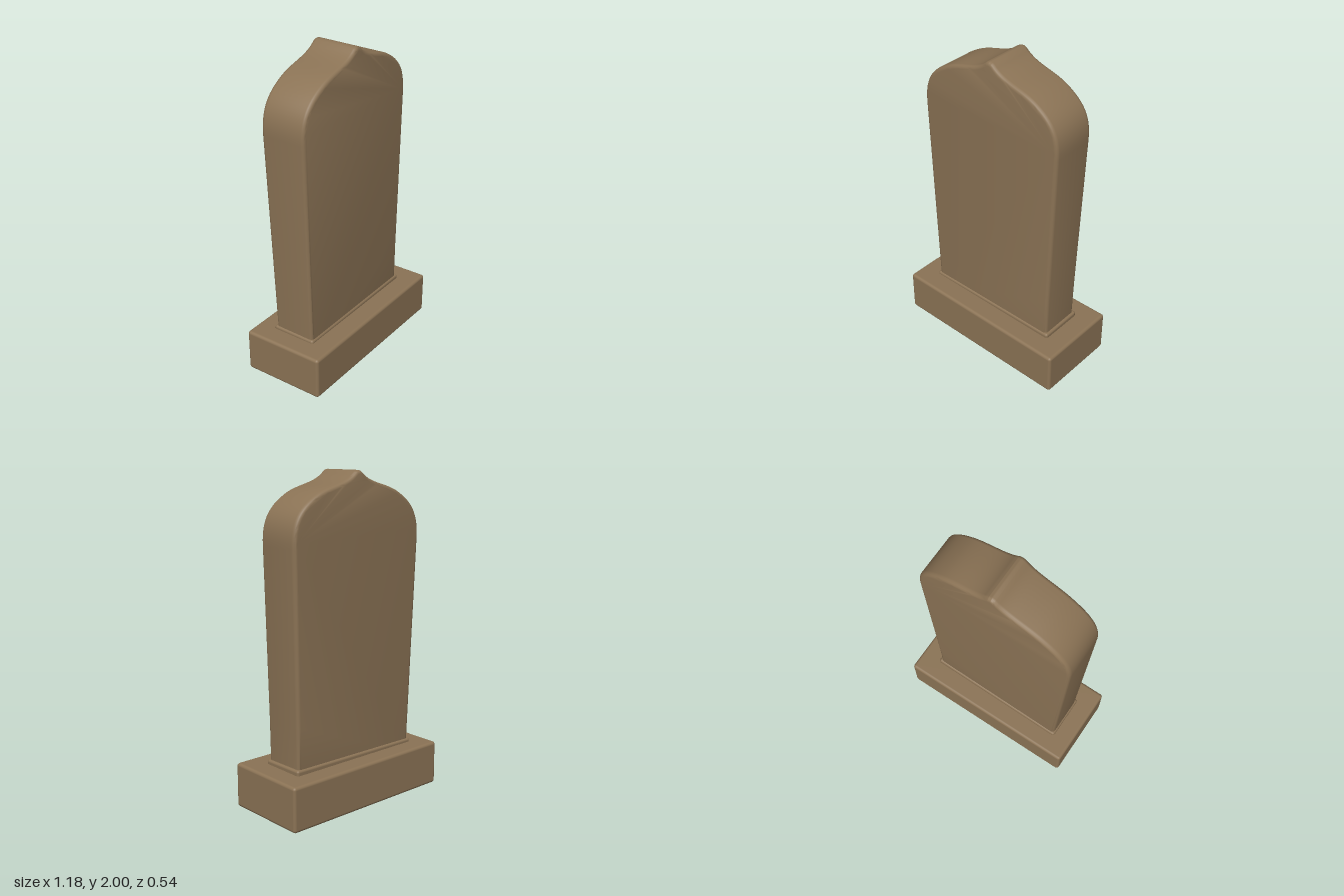
import * as THREE from 'three';
import { toCreasedNormals } from 'three/addons/utils/BufferGeometryUtils.js';
import { RoundedBoxGeometry } from 'three/addons/geometries/RoundedBoxGeometry.js';

// Move every vertex of a geometry by a rule
function reshape(geometry, rule) {
  const p = geometry.attributes.position;
  const v = new THREE.Vector3();
  for (let i = 0; i < p.count; i++) {
    rule(v.fromBufferAttribute(p, i));
    p.setXYZ(i, v.x, v.y, v.z);
  }
  return geometry;
}

export function createModel() {
  const group = new THREE.Group();
  group.name = 'gravestone';
  const stone = new THREE.MeshStandardMaterial({ color: 0x8b7355 });
  stone.name = 'brown stone';

  const add = (name, geometry) => {
    const mesh = new THREE.Mesh(geometry, stone);
    mesh.name = name;
    group.add(mesh);
  };

  // Plinth: a softened block that sits slightly out of level
  const plinth = new RoundedBoxGeometry(1.176, 0.272, 0.538, 3, 0.018);
  reshape(plinth, (v) => {
    const sx = v.x / 0.59, sz = v.z / 0.27;
    v.y += 0.148 - 0.006 * sx + 0.005 * sz;
    if (v.z < 0) v.z -= 0.006 * sx;
    v.x -= 0.002;
  });
  add('plinth', plinth);

  // Low swelling where the slab meets the plinth
  const foot = new RoundedBoxGeometry(0.925, 0.06, 0.29, 3, 0.015);
  foot.translate(-0.007, 0.278, -0.004);
  add('foot', foot);

  // Slab: flared sides, round shoulders and an ogee point
  const outline = new THREE.Shape();
  outline.moveTo(-0.456, 0.2);
  outline.lineTo(0.439, 0.2);
  outline.lineTo(0.445, 0.55);
  outline.lineTo(0.475, 1.58);
  outline.bezierCurveTo(0.482, 1.74, 0.42, 1.81, 0.3, 1.875);
  outline.bezierCurveTo(0.2, 1.925, 0.09, 1.92, 0.02, 1.99);
  outline.quadraticCurveTo(-0.008, 2.01, -0.036, 1.99);
  outline.bezierCurveTo(-0.11, 1.92, -0.22, 1.925, -0.32, 1.875);
  outline.bezierCurveTo(-0.44, 1.815, -0.51, 1.74, -0.504, 1.58);
  outline.lineTo(-0.456, 0.2);

  const bevel = 0.022;
  const slab = new THREE.ExtrudeGeometry(outline, {
    depth: 0.27 - 2 * bevel,
    curveSegments: 14,
    bevelSize: bevel,
    bevelThickness: bevel,
    bevelOffset: -bevel,
    bevelSegments: 4,
  });
  slab.translate(0, 0, -0.138 + bevel);
  // The back leans outward towards the top
  reshape(slab, (v) => {
    if (v.z < 0) v.z *= 1 + 0.21 * (v.y - 0.3) / 1.7;
  });
  add('slab', toCreasedNormals(slab, 0.75));

  return group;
}
